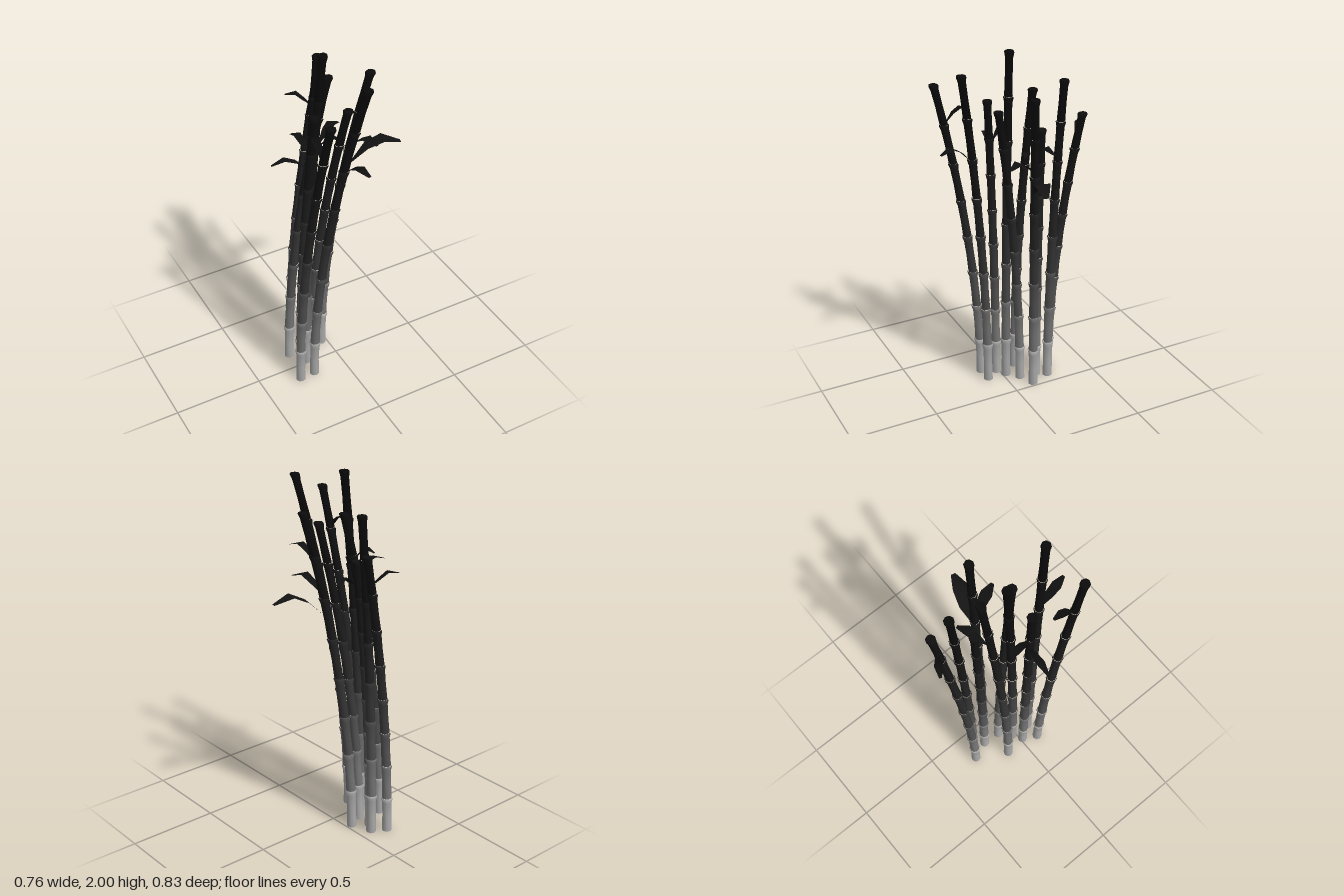
import * as THREE from 'three';
import { toCreasedNormals } from 'three/addons/utils/BufferGeometryUtils.js';

// Each cane: foot x, foot z, tip x, tip z, height
const CANES = [
  [-0.152, -0.28, 0.075, -0.342, 1.66],
  [-0.075, -0.235, 0.033, -0.255, 1.84],
  [-0.112, -0.18, -0.02, -0.155, 1.57],
  [-0.25, -0.108, 0.005, -0.088, 1.81],
  [-0.032, -0.12, 0.2, 0.0, 1.83],
  [-0.182, -0.02, -0.075, 0.005, 2.0],
  [-0.12, -0.08, 0.01, 0.11, 1.72],
  [-0.238, 0.015, -0.165, 0.088, 1.72],
  [-0.19, 0.09, 0.005, 0.308, 1.94],
  [-0.28, 0.095, -0.225, 0.36, 1.83],
];

// Each leaf: widest width, then four points from stem to tip
const LEAVES = [
  [0.085, [0.11, 1.28, -0.045], [0.2, 1.37, -0.03], [0.28, 1.41, 0.0], [0.375, 1.375, 0.026]],
  [0.065, [0.115, 1.39, -0.05], [0.13, 1.45, 0.01], [0.145, 1.485, 0.06], [0.175, 1.465, 0.124]],
  [0.055, [-0.05, 1.42, -0.095], [0.01, 1.47, -0.125], [0.05, 1.495, -0.14], [0.107, 1.47, -0.163]],
  [0.04, [-0.05, 1.41, -0.09], [-0.02, 1.45, -0.07], [0.01, 1.47, -0.05], [0.047, 1.455, -0.024]],
  [0.042, [-0.185, 1.4, 0.065], [-0.25, 1.46, 0.04], [-0.31, 1.487, 0.03], [-0.379, 1.465, 0.022]],
  [0.045, [-0.18, 1.48, 0.06], [-0.195, 1.54, 0.01], [-0.205, 1.57, -0.03], [-0.218, 1.55, -0.075]],
  [0.055, [-0.07, 1.45, 0.235], [-0.065, 1.51, 0.29], [-0.058, 1.54, 0.345], [-0.038, 1.52, 0.409]],
  [0.045, [0.05, 1.49, -0.332], [0.0, 1.54, -0.36], [-0.03, 1.57, -0.38], [-0.08, 1.56, -0.409]],
  [0.045, [-0.237, 1.6, 0.30], [-0.232, 1.66, 0.255], [-0.23, 1.685, 0.215], [-0.227, 1.675, 0.17]],
];

const JOINTS = 8;
// One internode: [fraction of length, radius factor], flaring at its top joint
const INTERNODE = [[0, 1.04], [0.45, 0.95], [0.86, 1.0], [0.97, 1.24], [1, 1.1]];

// Grey that darkens with height
function shade(y, side = THREE.FrontSide) {
  const v = 0.8 * Math.exp(-1.7 * y);
  return new THREE.MeshStandardMaterial({
    color: new THREE.Color().setRGB(v, v, v, THREE.SRGBColorSpace), side,
  });
}

function makeCane([x0, z0, x1, z1, height]) {
  const cane = new THREE.Group();
  cane.name = 'cane';
  const step = height / JOINTS;
  for (let i = 0; i < JOINTS; i++) {
    const radius = 0.0265 - 0.0045 * (i / (JOINTS - 1));
    const profile = INTERNODE.map(([f, r]) => new THREE.Vector2(radius * r, (i + f) * step));
    // Close the foot and the cut tip
    if (i === 0) profile.unshift(new THREE.Vector2(0, 0));
    if (i === JOINTS - 1) profile.push(new THREE.Vector2(0, height));
    const geometry = new THREE.LatheGeometry(profile, 8);
    // Lean the cane outward along its curve
    const pos = geometry.attributes.position;
    for (let v = 0; v < pos.count; v++) {
      const lean = Math.pow(Math.max(0, pos.getY(v)) / height, 1.8);
      pos.setX(v, pos.getX(v) + x0 + (x1 - x0) * lean);
      pos.setZ(v, pos.getZ(v) + z0 + (z1 - z0) * lean);
    }
    const mesh = new THREE.Mesh(toCreasedNormals(geometry, 1.0), shade((i + 0.5) * step));
    mesh.name = 'internode';
    cane.add(mesh);
  }
  return cane;
}

// Folded blade: a narrow stem, two wide sections and a blunt tip
function makeLeaf([width, ...points]) {
  const spine = points.map((p) => new THREE.Vector3(...p));
  const across = spine[3].clone().sub(spine[0]).setY(0).normalize();
  across.set(-across.z, 0, across.x);
  const widths = [0.12, 0.85, 1, 0.3];
  const verts = [];
  const index = [];
  spine.forEach((p, i) => {
    for (const s of [-0.5, 0.5]) {
      const q = p.clone().addScaledVector(across, s * width * widths[i]);
      verts.push(q.x, q.y, q.z);
    }
    if (i < 3) {
      const a = 2 * i;
      index.push(a, a + 1, a + 2, a + 1, a + 3, a + 2);
    }
  });
  const geometry = new THREE.BufferGeometry();
  geometry.setAttribute('position', new THREE.Float32BufferAttribute(verts, 3));
  geometry.setIndex(index);
  geometry.computeVertexNormals();
  const mesh = new THREE.Mesh(geometry, shade(spine[1].y, THREE.DoubleSide));
  mesh.name = 'leaf';
  return mesh;
}

export function createModel() {
  const model = new THREE.Group();
  model.name = 'bambooClump';
  CANES.forEach((c) => model.add(makeCane(c)));
  LEAVES.forEach((l) => model.add(makeLeaf(l)));
  return model;
}
